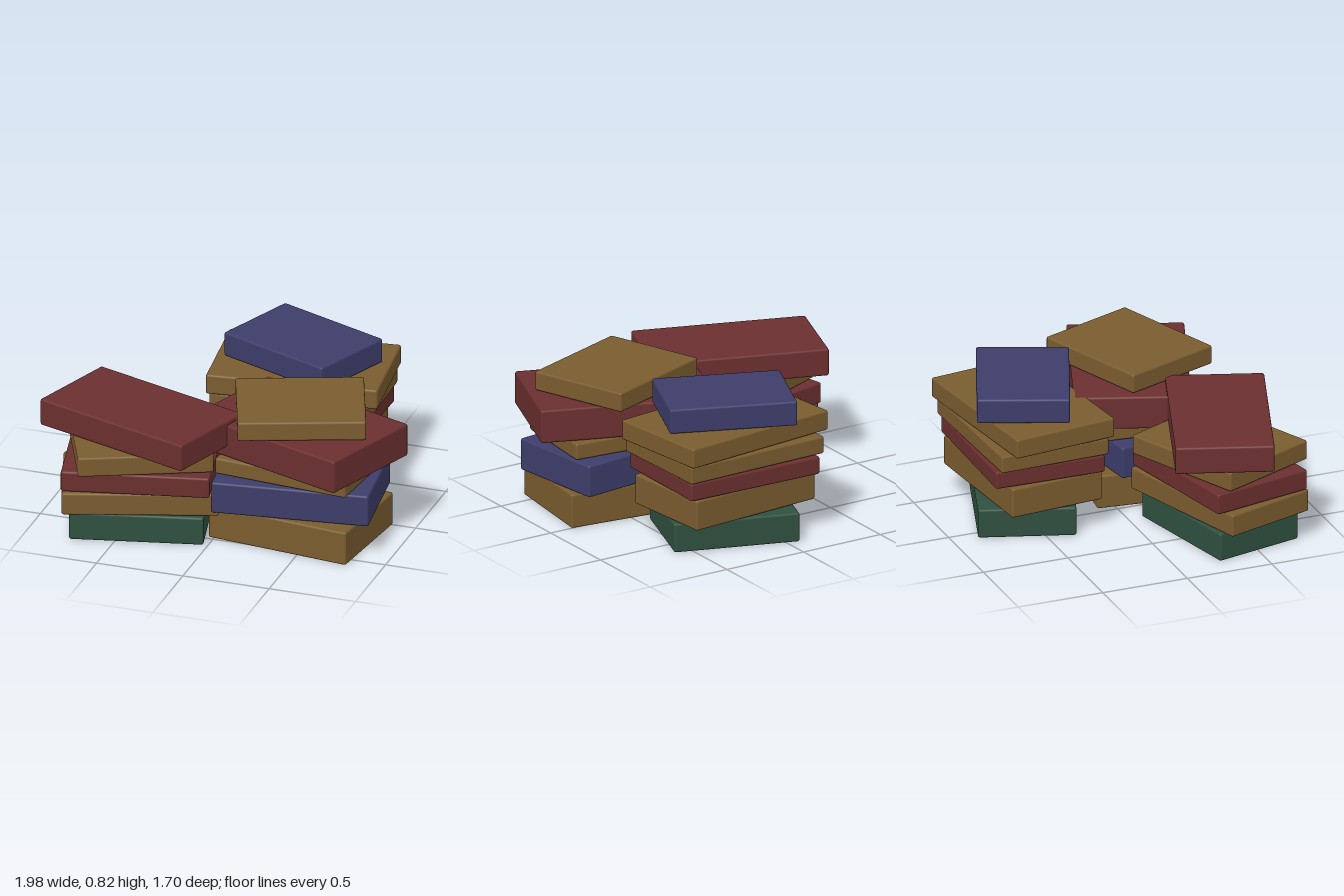
import * as THREE from 'three';
import { RoundedBoxGeometry } from 'three/addons/geometries/RoundedBoxGeometry.js';

const material = (name, color) => {
  const m = new THREE.MeshStandardMaterial({ color });
  m.name = name;
  return m;
};

export function createModel() {
  const tan = material('tan cover', 0x7a5c2f);
  const red = material('red cover', 0x6b2f2f);
  const blue = material('blue cover', 0x3d3d6b);
  const green = material('green cover', 0x2f5040);

  // Each book: cover, width, depth, bottom, top, turn in degrees
  const stacks = [
    { name: 'frontRightStack', x: -0.443, z: 0.422, books: [
      [green, 0.74, 0.525, 0, 0.163, 13.2],
      [tan, 0.86, 0.55, 0.168, 0.297, 18],
      [red, 0.82, 0.596, 0.302, 0.422, 12.6],
      [tan, 0.745, 0.61, 0.427, 0.541, 24],
      [red, 0.983, 0.544, 0.546, 0.703, -19],
    ] },
    { name: 'frontLeftStack', x: 0.418, z: 0.24, books: [
      [tan, 0.835, 0.594, 0, 0.196, -6.8],
      [blue, 0.88, 0.585, 0.2, 0.383, 7.2],
      [tan, 0.783, 0.55, 0.388, 0.482, -5.2],
      [red, 0.99, 0.645, 0.486, 0.677, -20],
      [tan, 0.704, 0.589, 0.681, 0.792, 20.4],
    ] },
    { name: 'backStack', x: 0.18, z: -0.486, books: [
      [green, 0.71, 0.54, 0, 0.168, -18.5],
      [tan, 0.82, 0.555, 0.172, 0.345, 5],
      [red, 0.83, 0.64, 0.35, 0.452, -1],
      [tan, 0.88, 0.64, 0.457, 0.557, 1.5],
      [tan, 0.962, 0.613, 0.561, 0.676, 6.9],
      [blue, 0.711, 0.51, 0.681, 0.823, -21.9],
    ] },
  ];

  const model = new THREE.Group();
  model.name = 'bookStacks';
  for (const { name, x, z, books } of stacks) {
    const stack = new THREE.Group();
    stack.name = name;
    stack.position.set(x, 0, z);
    // Closed books with softened edges, piled on top of each other
    books.forEach(([cover, width, depth, bottom, top, turn], i) => {
      const book = new THREE.Mesh(
        new RoundedBoxGeometry(width, top - bottom, depth, 2, 0.012), cover);
      book.name = `book${i + 1}`;
      book.position.y = (bottom + top) / 2;
      book.rotation.y = THREE.MathUtils.degToRad(turn);
      stack.add(book);
    });
    model.add(stack);
  }
  return model;
}
